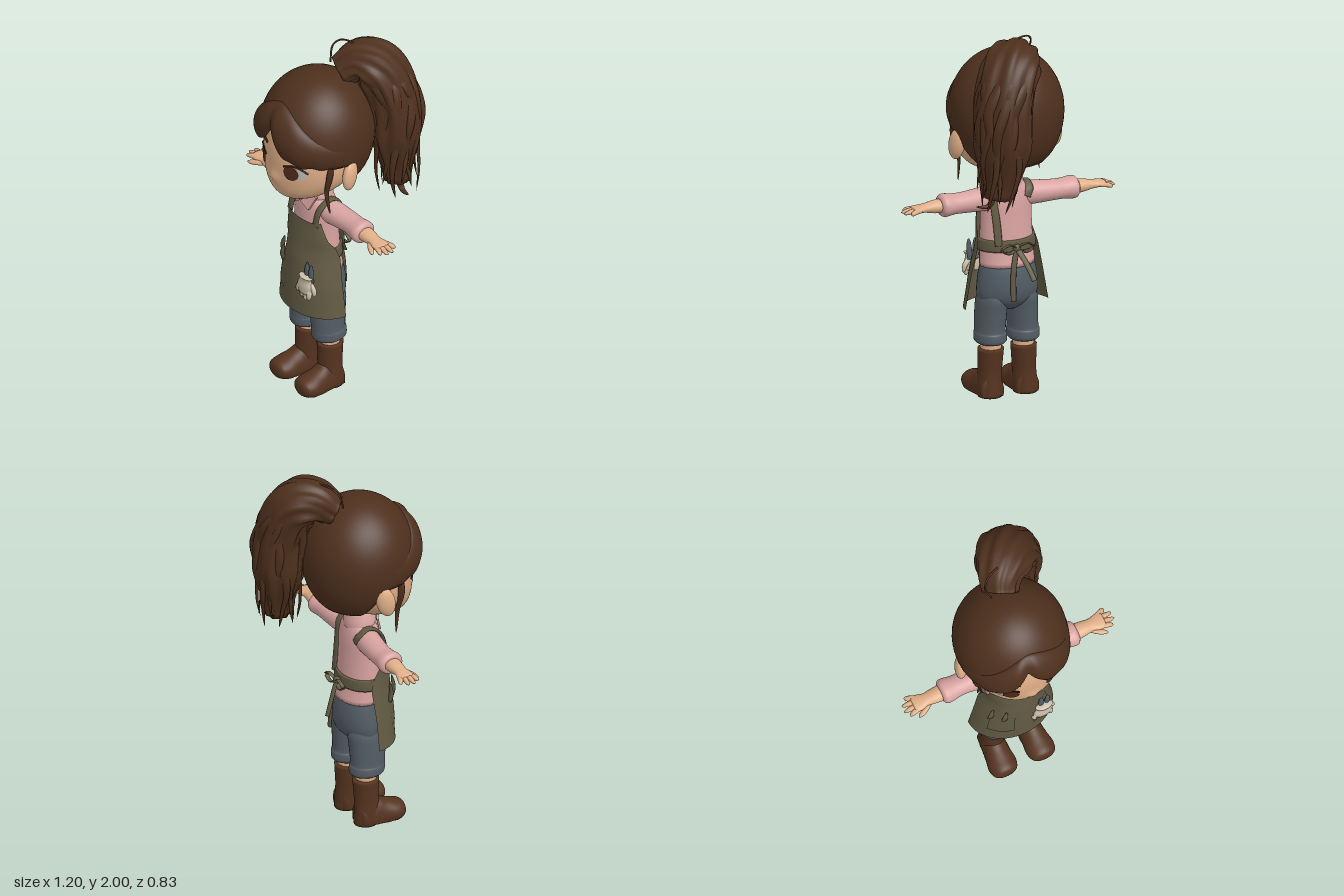
import * as THREE from 'three';
import { mergeVertices, mergeGeometries } from 'three/addons/utils/BufferGeometryUtils.js';

const V = (x, y, z) => new THREE.Vector3(x, y, z);
const mat = (name, color, side = THREE.FrontSide) => {
  const m = new THREE.MeshStandardMaterial({ color, side });
  m.name = name;
  return m;
};
const step = THREE.MathUtils.smoothstep;

// surface from a rule f(u, v) -> Vector3; outside is du x dv
function grid(nu, nv, f) {
  const pos = [], idx = [];
  for (let j = 0; j <= nv; j++) for (let i = 0; i <= nu; i++) pos.push(...f(i / nu, j / nv).toArray());
  for (let j = 0; j < nv; j++) for (let i = 0; i < nu; i++) {
    const a = j * (nu + 1) + i, d = a + nu + 1;
    idx.push(a, a + 1, d + 1, a, d + 1, d);
  }
  let g = new THREE.BufferGeometry();
  g.setAttribute('position', new THREE.Float32BufferAttribute(pos, 3));
  g.setIndex(idx);
  g = mergeVertices(g, 1e-5);
  g.computeVertexNormals();
  return g;
}

// closed body through elliptical rings [y, rx, zc, rz, xc]
function loft(rings, nu = 32, seg = 4) {
  const size = new THREE.CatmullRomCurve3(rings.map(r => V(r[0], r[1], r[3])), false, 'catmullrom');
  const mid = new THREE.CatmullRomCurve3(rings.map(r => V(r[4] || 0, 0, r[2])), false, 'catmullrom');
  const n = (rings.length - 1) * seg;
  return grid(nu, n + 2, (u, v) => {
    const row = Math.round(v * (n + 2)), k = THREE.MathUtils.clamp((row - 1) / n, 0, 1);
    const s = size.getPoint(k), c = mid.getPoint(k), r = row === 0 || row === n + 2 ? 0 : 1, a = u * Math.PI * 2;
    return V(c.x + r * s.y * Math.sin(a), s.x, c.z + r * s.z * Math.cos(a));
  });
}

// elliptical sweep along a curve: width along side, thickness across it
const flat = () => 1;
const lockTaper = v => Math.min(1, 0.5 + 2 * v) * Math.pow(1 - v, 0.55);
const roundTip = v => Math.sqrt(1.02 - v ** 4);
function sweep(pts, w, t, side, prof = flat, nu = 8, nv = 20, lump = flat) {
  const curve = new THREE.CatmullRomCurve3(pts.map(p => V(...p)));
  return grid(nu, nv + 2, (u, v) => {
    const row = Math.round(v * (nv + 2)), k = THREE.MathUtils.clamp((row - 1) / nv, 0, 1);
    const T = curve.getTangent(k), S = V(...side).addScaledVector(T, -T.dot(V(...side))).normalize();
    const B = S.clone().cross(T), a = u * Math.PI * 2;
    const r = row === 0 || row === nv + 2 ? 0 : prof(k) * lump(a, k);
    return curve.getPoint(k).addScaledVector(S, w * r * Math.sin(a)).addScaledVector(B, t * r * Math.cos(a));
  });
}

const ball = (x, y, z, rx, ry, rz) => new THREE.SphereGeometry(1, 24, 16).scale(rx, ry, rz).translate(x, y, z);

function mirror(geo) {
  const g = geo.clone().scale(-1, 1, 1), ix = g.index.array;
  for (let i = 0; i < ix.length; i += 3) [ix[i], ix[i + 1]] = [ix[i + 1], ix[i]];
  g.computeVertexNormals();
  return g;
}

// depth of the face surface at x, y
function faceZ(x, y) {
  const q = (y - 1.43) / (y > 1.43 ? 0.38 : 0.245), t = Math.max(0, -q);
  return 0.12 + 0.26 * Math.sqrt(Math.max(0, 1 - q * q - (x / 0.265) ** 2)) + 0.12 * t * t;
}
function faceDisc(x, y, rx, ry, lift) {
  const g = new THREE.RingGeometry(0.001, 1, 32, 5).scale(rx, ry, 1).translate(x, y, 0), p = g.attributes.position;
  for (let i = 0; i < p.count; i++) p.setZ(i, faceZ(p.getX(i), p.getY(i)) + lift);
  g.computeVertexNormals();
  return g;
}

// hair shell around the skull, fuller below the middle; a = angle from the front, e = elevation
function skull(a, e, s) {
  const c = 0.3 * s * Math.pow(Math.max(0, Math.cos(e)), e < 0 ? 0.75 : 1);
  return V(c * Math.sin(a), 1.54 + 0.33 * s * Math.sin(e), 0.1 + c * Math.cos(a));
}

// apron rows: y, half width, side z, front z
const apronRows = [[0.48, 0.235, 0.09, 0.275], [0.65, 0.205, 0.09, 0.27], [0.8, 0.172, 0.08, 0.26], [0.86, 0.158, 0.1, 0.25],
  [0.92, 0.148, 0.145, 0.242], [1.03, 0.13, 0.175, 0.225]];
function apronPoint(a, y, lift = 0) {
  let i = 0;
  while (i < apronRows.length - 2 && y > apronRows[i + 1][0]) i++;
  const A = apronRows[i], B = apronRows[i + 1], k = (y - A[0]) / (B[0] - A[0]);
  const [, w, zb, zf] = A.map((n, j) => n + (B[j] - n) * k);
  return V((w + lift) * Math.sin(a), y, zb + (zf - zb + lift) * Math.cos(a));
}

export function createModel() {
  const root = new THREE.Group();
  root.name = 'girlWithApron';
  const hair = mat('hairBrown', 0x4e301d), skin = mat('skin', 0xe0af88), shirt = mat('shirtPink', 0xd8a3a1);
  const olive = mat('apronOlive', 0x605942, THREE.DoubleSide), slate = mat('trouserSlate', 0x535d65);
  const boot = mat('bootBrown', 0x55331f), cream = mat('gloveCream', 0xcdc2ab), iris = mat('irisBrown', 0x4e2a1a);
  const white = mat('eyeWhite', 0xbcbdb6), dark = mat('lashDark', 0x2e1a11);
  const add = (name, geo, m) => {
    const mesh = new THREE.Mesh(geo, m);
    mesh.name = name;
    root.add(mesh);
  };
  const pair = (name, geo, m) => { add(name + 'Left', geo, m); add(name + 'Right', mirror(geo), m); };

  // head, with the chin pushed forward and a soft button nose
  add('head', grid(80, 56, (u, v) => {
    const a = (u - 0.5) * Math.PI * 2, e = (v - 0.5) * Math.PI, s = Math.sin(e), t = Math.max(0, -s);
    const x = 0.265 * Math.sin(a) * Math.cos(e), y = 1.43 + s * (s > 0 ? 0.38 : 0.245);
    const nose = Math.cos(a) > 0 ? 0.014 * Math.exp(-((x / 0.032) ** 2) - ((y - 1.335) / 0.032) ** 2) : 0;
    return V(x, y, 0.12 + 0.26 * Math.cos(a) * Math.cos(e) + 0.12 * t * t + nose);
  }), skin);
  add('neck', new THREE.CylinderGeometry(0.058, 0.062, 0.2, 24).translate(0, 1.2, 0.1), skin);
  pair('ear', ball(0, 0, 0, 0.032, 0.085, 0.05).rotateX(-0.2).rotateY(0.35).translate(0.282, 1.385, 0.1), skin);

  // eyes and brows
  pair('eyeWhite', faceDisc(0.138, 1.408, 0.05, 0.036, 0.003), white);
  pair('iris', faceDisc(0.116, 1.407, 0.039, 0.043, 0.006), iris);
  const onFace = pts => pts.map(([x, y]) => [x, y, faceZ(x, y) + 0.004]);
  pair('lash', sweep(onFace([[0.075, 1.435], [0.12, 1.452], [0.16, 1.445], [0.192, 1.42]]), 0.006, 0.004, [0, 1, 0]), dark);
  pair('brow', sweep(onFace([[0.07, 1.51], [0.1, 1.511], [0.13, 1.5]]), 0.008, 0.005, [0, 1, 0]), hair);

  // hair cap, low at the back and open over the face
  add('hairCap', grid(64, 24, (u, v) => {
    const a = (u - 0.5) * 2 * Math.PI, b = Math.abs(a);
    const low = 0.5 - 0.77 * step(b, 0, 1.3) - 0.66 * step(b, 1.5, 2.1);
    const k = Math.max(0, (v * 24 - 1) / 23);
    return skull(a, low + (Math.PI / 2 - low) * k, v === 0 ? 0.84 : 1);
  }), hair);

  // parted fringe with a crease where it meets the cap
  add('fringe', grid(80, 24, (u, v) => {
    const a = (u - 0.5) * 2.8, b = Math.abs(a + 0.1), k = Math.max(0, (v * 24 - 1) / 23);
    const yLow = 1.455 + 0.215 * Math.exp(-Math.pow(b / 0.26, 1.2)) + 0.006 * Math.sin(a * 17);
    const low = Math.asin((yLow - 1.54) / 0.33), top = 0.77 - 0.68 * step(Math.abs(a), 0, 1.4);
    const notch = 1 - 0.45 * Math.exp(-((b / 0.13) ** 2));
    const round = Math.pow(Math.max(0, Math.sin(Math.PI * Math.pow(k, 0.9))), 0.65);
    const bulge = 0.125 * notch * round * (1 - 0.75 * step(Math.abs(a), 0.5, 1.3));
    return skull(a, low + (top - low) * k, v === 0 ? 0.85 : 0.985 + bulge);
  }), hair);
  pair('cheekStrand', sweep([[0.262, 1.5, 0.2], [0.25, 1.38, 0.21], [0.222, 1.28, 0.205], [0.232, 1.15, 0.19]], 0.026, 0.014, [0, 0, 1], lockTaper), hair);

  // ponytail core
  const tail = [[0.01, 1.83, -0.04], [0.05, 1.88, -0.12], [0.12, 1.845, -0.205], [0.18, 1.68, -0.255], [0.19, 1.45, -0.265], [0.215, 1.19, -0.255]];
  add('ponytail', sweep(tail, 1.12, 0.98, [0.7, 0, 0.7], v => 0.085 + 0.05 * step(v, 0, 0.38) - 0.065 * step(v, 0.75, 1), 56, 44,
    (a, v) => 1 + 0.05 * Math.cos(7 * a + 5 * v) + 0.035 * Math.cos(12 * a - 8 * v)), hair);

  // loose wavy locks around the ponytail
  const tailCurve = new THREE.CatmullRomCurve3(tail.map(p => V(...p))), locks = [];
  for (let i = 0; i < 18; i++) {
    const a = i * Math.PI / 9, drop = 0.06 * Math.sin(i * 2.3) - 0.01, pts = [];
    for (let j = 0; j <= 10; j++) {
      const k = 0.2 + 0.08 * j, c = tailCurve.getPoint(k), w = j / 10;
      const r = (0.03 + 0.1 * step(k, 0.1, 0.5)) * (1 - 0.3 * step(k, 0.7, 1)) + 0.018 * w * Math.sin(j * 1.3 + i * 1.7);
      const t = a + 0.18 * Math.sin(j * 1.1 + i * 2.1);
      pts.push([c.x + r * Math.cos(t), c.y + drop * w * w, c.z + r * Math.sin(t)]);
    }
    locks.push(sweep(pts, 0.042, 0.024, [-Math.sin(a), 0, Math.cos(a)], lockTaper, 8, 36));
  }
  add('ponytailLocks', mergeGeometries(locks), hair);
  add('curledTip', sweep([[0.24, 1.4, -0.22], [0.23, 1.25, -0.24], [0.26, 1.15, -0.25], [0.33, 1.15, -0.24]], 0.03, 0.025, [0, 0, 1], lockTaper), hair);
  add('flyawayStrand', sweep([[-0.05, 1.86, -0.02], [-0.07, 1.94, -0.05], [-0.04, 1.98, -0.08], [0.03, 1.985, -0.11], [0.09, 1.96, -0.13]], 0.005, 0.005, [0, 0, 1]), hair);

  // shirt
  add('shirtBody', loft([[0.71, 0.15, 0.09, 0.112], [0.8, 0.145, 0.1, 0.106], [0.95, 0.14, 0.105, 0.1], [1.05, 0.14, 0.105, 0.095],
    [1.11, 0.125, 0.105, 0.086], [1.15, 0.085, 0.1, 0.07], [1.18, 0.06, 0.1, 0.055]]), shirt);
  add('collarBand', loft([[1.12, 0.095, 0.1, 0.078], [1.16, 0.09, 0.105, 0.082], [1.205, 0.074, 0.102, 0.068]]), shirt);
  const arm = rings => loft(rings).rotateZ(-Math.PI / 2).translate(0, 1.07, 0);
  pair('sleeve', arm([[0.07, 0.066, 0.1, 0.065], [0.15, 0.062, 0.09, 0.065], [0.25, 0.055, 0.08, 0.06], [0.31, 0.054, 0.08, 0.061],
    [0.355, 0.06, 0.08, 0.068], [0.378, 0.057, 0.08, 0.064], [0.39, 0.042, 0.08, 0.048]]), shirt);
  const flap = new THREE.Shape([[0.004, 1.12], [0.055, 1.085], [0.085, 1.165], [0.03, 1.18]].map(p => new THREE.Vector2(...p)));
  const flapGeo = mergeVertices(new THREE.ExtrudeGeometry(flap, { depth: 0.012, bevelEnabled: false }));
  const fp = flapGeo.attributes.position;
  for (let i = 0; i < fp.count; i++) fp.setZ(i, fp.getZ(i) + 0.205 - (fp.getY(i) - 1.085) * 0.12 - 5 * fp.getX(i) ** 2);
  flapGeo.computeVertexNormals();
  pair('collarFlap', flapGeo, shirt);
  add('throat', ball(0, 1.155, 0.155, 0.028, 0.035, 0.042), skin);

  // forearms and hands
  pair('forearm', arm([[0.36, 0.036, 0.08, 0.046], [0.42, 0.034, 0.08, 0.042], [0.47, 0.024, 0.08, 0.036], [0.51, 0.018, 0.08, 0.045],
    [0.545, 0.014, 0.08, 0.042]]), skin);
  const fingers = [[0.035, 0.57], [0.063, 0.598], [0.09, 0.6], [0.115, 0.58]].map(([z, x]) =>
    sweep([[0.51, 1.068, 0.08 + (z - 0.077) * 0.7], [0.55, 1.066, z], [x, 1.058, z * 1.25 - 0.02]], 0.015, 0.013, [0, 0, 1], roundTip));
  fingers.push(sweep([[0.46, 1.062, 0.1], [0.5, 1.055, 0.128], [0.54, 1.048, 0.147]], 0.016, 0.014, [0, 0, 1], roundTip));
  pair('fingers', mergeGeometries(fingers), skin);

  // trousers, ankles and boots
  add('trouserHips', loft([[0.47, 0.1, 0.1, 0.06], [0.51, 0.15, 0.094, 0.1], [0.56, 0.166, 0.09, 0.118], [0.62, 0.164, 0.088, 0.121], [0.68, 0.155, 0.088, 0.115], [0.73, 0.143, 0.09, 0.105]]), slate);
  pair('trouserLeg', loft([[0.29, 0.072, 0.095, 0.085, 0.093], [0.305, 0.084, 0.095, 0.095, 0.093], [0.34, 0.084, 0.097, 0.096, 0.093], [0.36, 0.079, 0.1, 0.093, 0.093],
    [0.46, 0.081, 0.1, 0.1, 0.088], [0.53, 0.078, 0.094, 0.1, 0.084], [0.59, 0.06, 0.09, 0.08, 0.075]]), slate);
  pair('ankle', new THREE.CylinderGeometry(0.055, 0.055, 0.08, 24).translate(0.092, 0.27, 0.09), skin);
  pair('bootShaft', loft([[0, 0.062, 0.085, 0.064, 0.1], [0.06, 0.064, 0.09, 0.066, 0.1], [0.13, 0.062, 0.092, 0.066, 0.097], [0.2, 0.065, 0.09, 0.068, 0.095], [0.26, 0.068, 0.088, 0.07, 0.093]]), boot);
  const foot = loft([[0.04, 0.06, -0.035, 0.08, 0.1], [0.13, 0.066, -0.035, 0.112, 0.102], [0.18, 0.07, -0.036, 0.088, 0.105], [0.23, 0.077, -0.038, 0.068, 0.107],
    [0.272, 0.068, -0.042, 0.052, 0.108], [0.292, 0.048, -0.044, 0.036, 0.108], [0.3, 0.018, -0.045, 0.014, 0.108]]).rotateX(Math.PI / 2);
  const p = foot.attributes.position;
  for (let i = 0; i < p.count; i++) p.setY(i, Math.max(0.004, p.getY(i)));
  foot.computeVertexNormals();
  pair('bootFoot', foot, boot);

  // apron, belt and straps
  add('apron', grid(32, 24, (u, v) => apronPoint((u - 0.5) * Math.PI, 0.48 + 0.55 * v)), olive);
  add('belt', loft([[0.795, 0.158, 0.1, 0.117], [0.825, 0.158, 0.1, 0.116], [0.855, 0.156, 0.102, 0.114]]), olive);
  const strapFront = s => [[s * 0.107, 1.01, 0.195], [s * 0.108, 1.09, 0.172], [s * 0.108, 1.13, 0.13], [s * 0.107, 1.14, 0.09], [s * 0.105, 1.11, 0.042]];
  add('strapLeft', sweep([...strapFront(1), [0.1, 1.04, 0.03], [0.092, 0.95, 0.018], [0.086, 0.83, 0.004]], 0.022, 0.008, [1, 0, 0], flat, 8, 40), olive);
  add('strapRight', sweep([...strapFront(-1), [-0.085, 1.07, 0.03]], 0.022, 0.008, [1, 0, 0], flat, 8, 30), olive);
  pair('pocket', grid(12, 8, (u, v) => apronPoint(0.25 + 0.7 * u, 0.58 + 0.16 * v, 0.004)), olive);

  // bow at the back
  add('bowKnot', ball(0, 0.82, -0.03, 0.022, 0.022, 0.018), olive);
  pair('bowLoop', sweep([[0, 0.82, -0.03], [0.05, 0.845, -0.045], [0.09, 0.82, -0.04], [0.05, 0.795, -0.04], [0, 0.815, -0.03]], 0.005, 0.012, [0, 1, 0]), olive);
  add('bowTailLong', sweep([[0, 0.82, -0.03], [0.025, 0.7, -0.045], [0.03, 0.54, -0.055]], 0.016, 0.008, [1, 0, 0]), olive);
  add('bowTailShort', sweep([[0, 0.82, -0.03], [-0.035, 0.74, -0.08], [-0.06, 0.66, -0.12]], 0.016, 0.008, [1, 0, 0]), olive);

  // pocket contents: leaves, tools and a hanging glove
  const leaf = v => Math.sqrt(Math.max(0.02, Math.sin(Math.PI * (0.25 + 0.75 * v))));
  add('pocketLeaves', mergeGeometries([[-0.158, 0.2], [-0.1, 0.245]].map(([x, z]) =>
    sweep([[x, 0.71, z - 0.005], [x, 0.76, z + 0.005], [x + 0.012, 0.82, z]], 0.018, 0.009, [1, 0, 0], leaf))), olive);
  add('toolHandles', mergeGeometries([0.105, 0.14].map(x =>
    sweep([[x, 0.7, 0.24], [x + 0.003, 0.76, 0.247], [x + 0.006, 0.81, 0.245]], 0.016, 0.013, [1, 0, 0], leaf))), slate);
  const glove = [loft([[0.635, 0.045, 0.262, 0.022, 0.11], [0.675, 0.054, 0.262, 0.025, 0.11], [0.71, 0.042, 0.262, 0.022, 0.115], [0.735, 0.048, 0.262, 0.025, 0.118]], 20)];
  [[0.06, 0.62], [0.092, 0.6], [0.122, 0.592], [0.15, 0.605]].forEach(([x, y]) =>
    glove.push(sweep([[0.11 + (x - 0.11) * 0.7, 0.67, 0.262], [x, 0.64, 0.265], [x, y, 0.268]], 0.016, 0.015, [1, 0, 0], roundTip)));
  glove.push(sweep([[0.135, 0.7, 0.255], [0.165, 0.67, 0.248], [0.175, 0.63, 0.248]], 0.015, 0.014, [1, 0, 0], roundTip));
  add('glove', mergeGeometries(glove), cream);
  return root;
}
